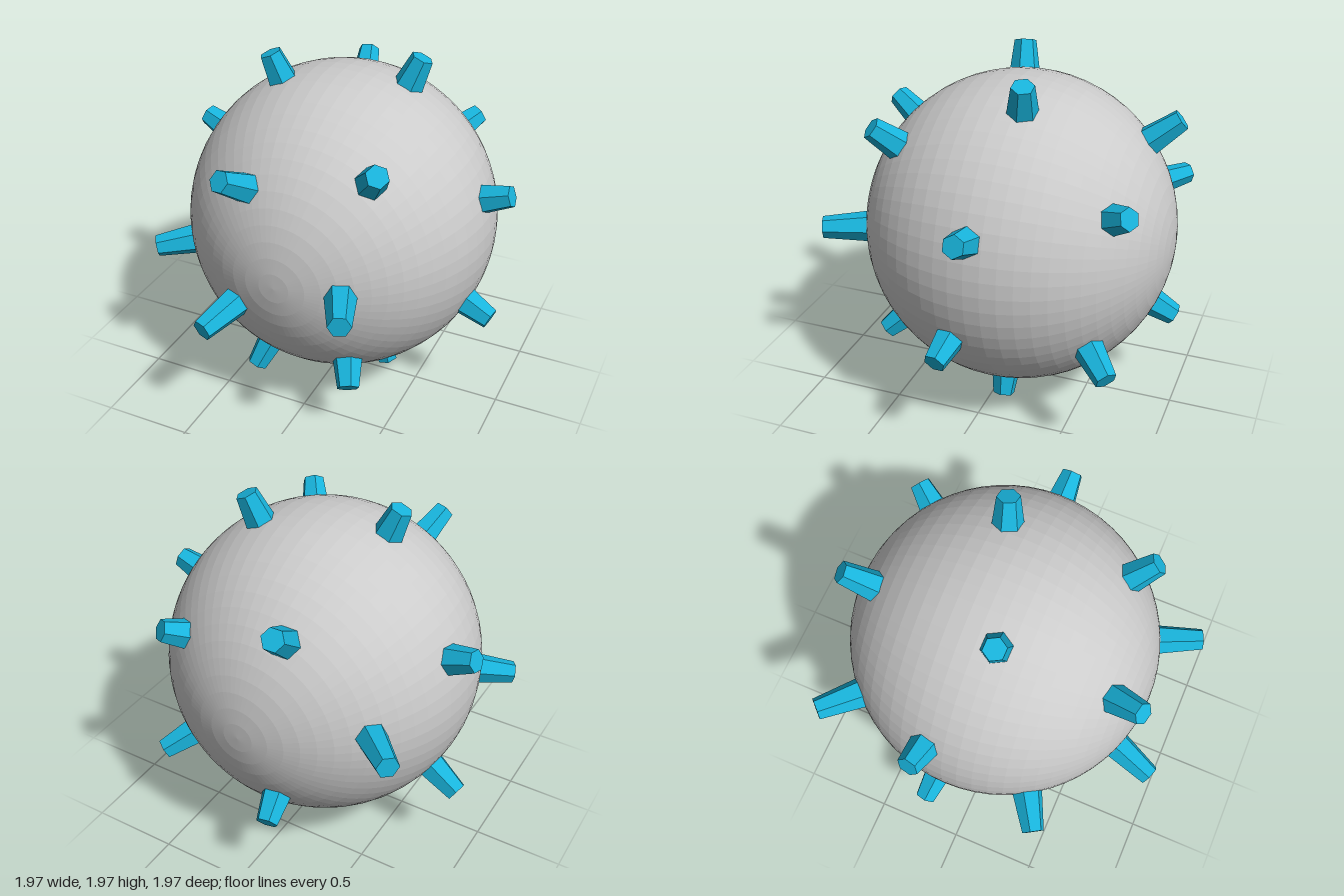
import * as THREE from 'three';

const CENTRE = new THREE.Vector3(-0.01, 1.005, -0.075);
const RADIUS = 0.877;

// Centre of each stud's outer end, measured from the ball's centre
const STUD_TIPS = [
  // upper studs
  [-0.38, 0.95, 0.12], [0.39, 0.955, -0.14], [-0.28, 0.565, 0.88], [0.48, 0.66, 0.67],
  [-0.955, 0.37, -0.13], [0.975, 0.325, 0], [-0.21, 0.66, -0.83], [0.54, 0.4, -0.75],
  // studs around the middle
  [-0.92, -0.16, 0.56], [0.445, 0, 1.03], [-0.345, -0.26, 1.04], [-0.81, 0.1, -0.78],
  // lower studs
  [-0.915, -0.54, -0.13], [0.95, -0.39, 0.135], [0.35, -0.655, 0.71], [-0.375, -0.925, 0.43],
  [0.295, -0.975, 0], [0.65, -0.49, -0.7], [-0.16, -0.515, -0.88],
];

// Tapered six-sided stud pointing straight out from the ball
function makeStud(tip, material) {
  const out = new THREE.Vector3(...tip);
  const reach = out.length();
  out.normalize();

  const root = RADIUS - 0.06;
  const length = reach - root;
  const geometry = new THREE.CylinderGeometry(0.062, 0.091, length, 6, 1, false, Math.PI / 2);
  geometry.translate(0, root + length / 2, 0);

  // one corner of the hexagon leans toward the x axis
  const side = new THREE.Vector3(1, 0, 0).projectOnPlane(out).normalize();
  const third = new THREE.Vector3().crossVectors(side, out);
  geometry.applyMatrix4(new THREE.Matrix4().makeBasis(side, out, third));

  const stud = new THREE.Mesh(geometry, material);
  stud.name = 'stud';
  return stud;
}

export function createModel() {
  const model = new THREE.Group();
  model.name = 'studdedBall';

  const grey = new THREE.MeshStandardMaterial({ color: 0xcccccc, flatShading: true });
  const blue = new THREE.MeshStandardMaterial({ color: 0x18b4dc, flatShading: true });

  // Faceted ball with its poles at the front and back
  const ball = new THREE.Mesh(new THREE.SphereGeometry(RADIUS, 64, 32).rotateX(Math.PI / 2), grey);
  ball.name = 'ball';
  ball.position.copy(CENTRE);
  model.add(ball);

  // Studs
  const studs = new THREE.Group();
  studs.name = 'studs';
  studs.position.copy(CENTRE);
  for (const tip of STUD_TIPS) studs.add(makeStud(tip, blue));
  model.add(studs);

  return model;
}
